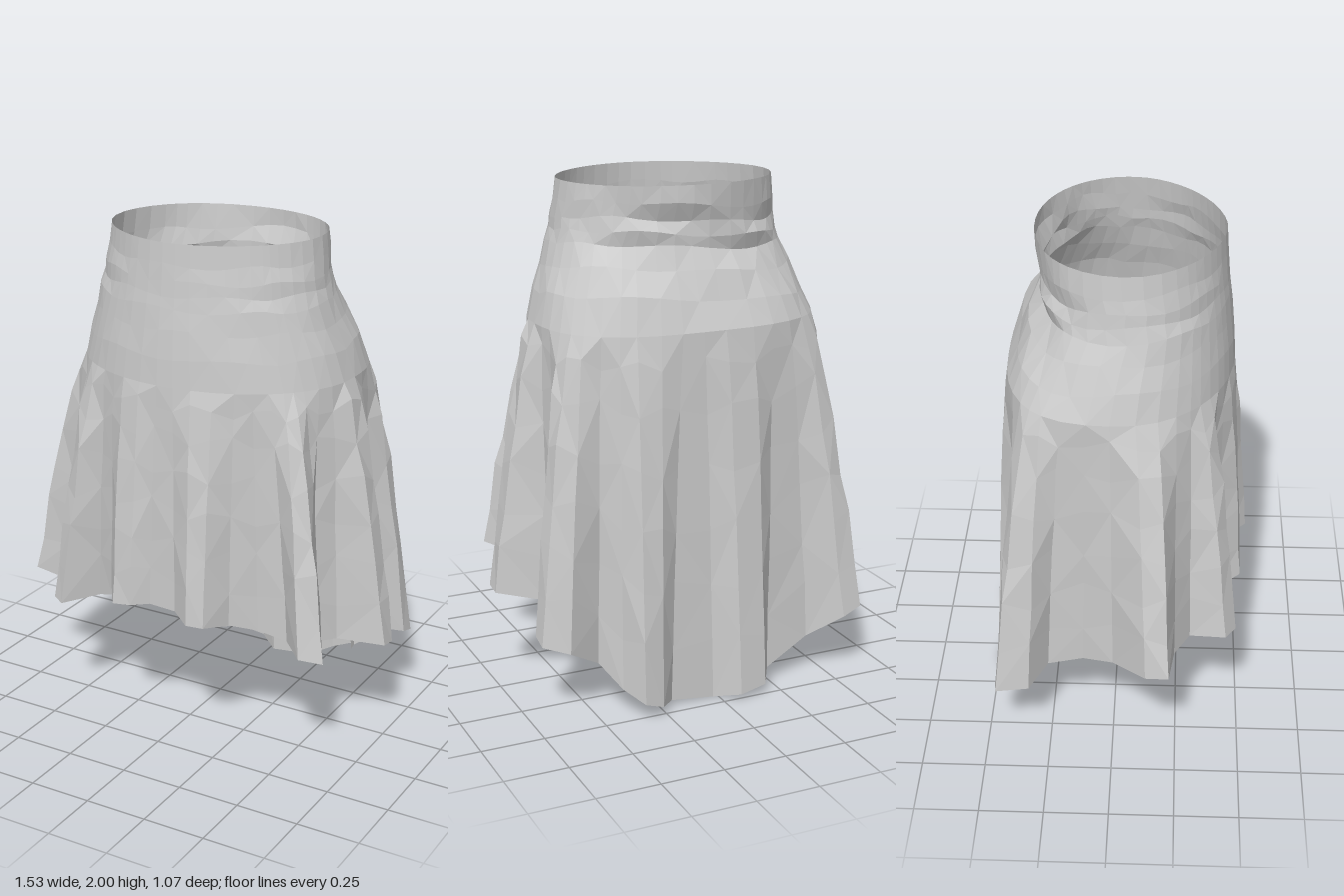
import * as THREE from 'three';

// Hem outline with its fluted folds, from the left side round the front: [x, y, z]
const HEM = [
  // left side and front left folds
  [.765, .41, -.02], [.765, .42, .05], [.6, .45, .14], [.54, .46, .24], [.6, .46, .27],
  [.67, .47, .4], [.58, .48, .43], [.48, .49, .33], [.36, .51, .34],
  // front folds
  [.27, .54, .41], [.22, .56, .52], [.15, .56, .53], [.06, .57, .46], [-.06, .57, .45],
  [-.12, .57, .5], [-.2, .56, .5], [-.27, .54, .4], [-.36, .5, .35],
  // right side folds
  [-.46, .49, .48], [-.52, .49, .44], [-.5, .48, .3], [-.6, .47, .24], [-.765, .48, .22],
  [-.74, .46, .13], [-.58, .4, 0], [-.51, .36, -.12], [-.5, .32, -.26],
  // long back panel
  [-.62, .29, -.33], [-.63, .28, -.46], [-.55, .25, -.47], [-.42, .16, -.39], [-.24, .06, -.4],
  [-.18, .04, -.5], [-.07, .02, -.51], [.02, 0, -.44], [.2, .02, -.44], [.27, .04, -.52],
  [.35, .07, -.535], [.4, .1, -.43], [.46, .18, -.33],
  // back left fold
  [.6, .27, -.4], [.7, .3, -.36], [.7, .32, -.29], [.58, .35, -.2], [.58, .375, -.1],
];

// Rings from waist to hip: [y, half width, front z, back z, front roundness, back roundness]
const RINGS = [
  [2, .43, .405, -.31, 1.8, 2.1], [1.92, .44, .41, -.305, 1.8, 2.1],
  [1.86, .45, .415, -.285, 1.85, 2.15], [1.81, .455, .42, -.3, 1.85, 2.2],
  [1.76, .47, .425, -.285, 1.9, 2.3], [1.68, .495, .435, -.33, 1.9, 2.5],
  [1.58, .53, .445, -.38, 1.95, 2.7], [1.47, .56, .45, -.42, 2, 2.8],
];
const FOLD_ROWS = [.08, .2, .36, .52, .68, .84, 1];

// Point on an oval ring, rounder in front and squarer behind
function ringPoint([y, w, front, back, pFront, pBack], a) {
  const cz = (front + back) / 2, rz = (front - back) / 2;
  const c = Math.cos(a), s = Math.sin(a), p = s > 0 ? pFront : pBack;
  const k = (Math.abs(c) ** p + Math.abs(s) ** p) ** (-1 / p);
  return new THREE.Vector3(.015 + w * c * k, y, cz + rz * s * k);
}

// Hem angles, unwrapped and averaged so that the folds fade into even columns
function columnAngles() {
  const n = HEM.length, raw = [];
  HEM.forEach(([x, , z], i) => {
    let a = Math.atan2(z / .43, x / .56);
    if (i > 0) while (a < raw[i - 1] - Math.PI) a += 2 * Math.PI;
    raw.push(a);
  });
  const at = (i) => raw[(i + n) % n] + 2 * Math.PI * Math.floor(i / n);
  return raw.map((_, i) => {
    let sum = 0;
    for (let k = -2; k <= 2; k++) sum += at(i + k);
    return sum / 5;
  });
}

function skirtGeometry() {
  const n = HEM.length, angles = columnAngles(), pos = [], index = [];
  const hip = RINGS[RINGS.length - 1];

  // Waist to hip, with slanting creases gathered across the back
  RINGS.forEach((ring, r) => {
    angles.forEach((a, j) => {
      const p = ringPoint(ring, a);
      if (r > 0 && r < RINGS.length - 1) {
        const back = Math.max(0, -Math.sin(a));
        p.y += back * p.x * .09 + .008 * Math.sin(j * .9 + r * 2);
        p.z += back * .008 * Math.sin(j * .8 + r * 2.1);
      }
      pos.push(p.x, p.y, p.z);
    });
  });

  // Hip to hem, the folds growing on the way down
  FOLD_ROWS.forEach((t, r) => {
    angles.forEach((a, j) => {
      const top = ringPoint(hip, a), hem = new THREE.Vector3(...HEM[j]);
      const p = top.clone().lerp(hem, t ** .74);
      p.y = THREE.MathUtils.lerp(top.y, hem.y, t);
      if (t < 1) {
        p.y += .025 * Math.sin(j * 1.9 + r * 2.7);
        const bump = 1 + .005 * Math.sin(j * 2.7 + r * 1.7);
        p.x *= bump;
        p.z *= bump;
      }
      pos.push(p.x, p.y, p.z);
    });
  });

  const rows = RINGS.length + FOLD_ROWS.length;
  for (let r = 0; r < rows - 1; r++) {
    for (let j = 0; j < n; j++) {
      const a = r * n + j, b = r * n + (j + 1) % n, c = a + n, d = b + n;
      if ((r + j) % 2) index.push(a, b, c, b, d, c);
      else index.push(a, b, d, a, d, c);
    }
  }
  const g = new THREE.BufferGeometry();
  g.setAttribute('position', new THREE.Float32BufferAttribute(pos, 3));
  g.setIndex(index);
  const flat = g.toNonIndexed();
  flat.computeVertexNormals();
  return flat;
}

export function createModel() {
  const group = new THREE.Group();
  group.name = 'skirt';
  const cloth = new THREE.MeshStandardMaterial({
    color: 0xcccccc, flatShading: true, side: THREE.DoubleSide,
  });
  const skirt = new THREE.Mesh(skirtGeometry(), cloth);
  skirt.name = 'foldedCloth';
  group.add(skirt);
  return group;
}
